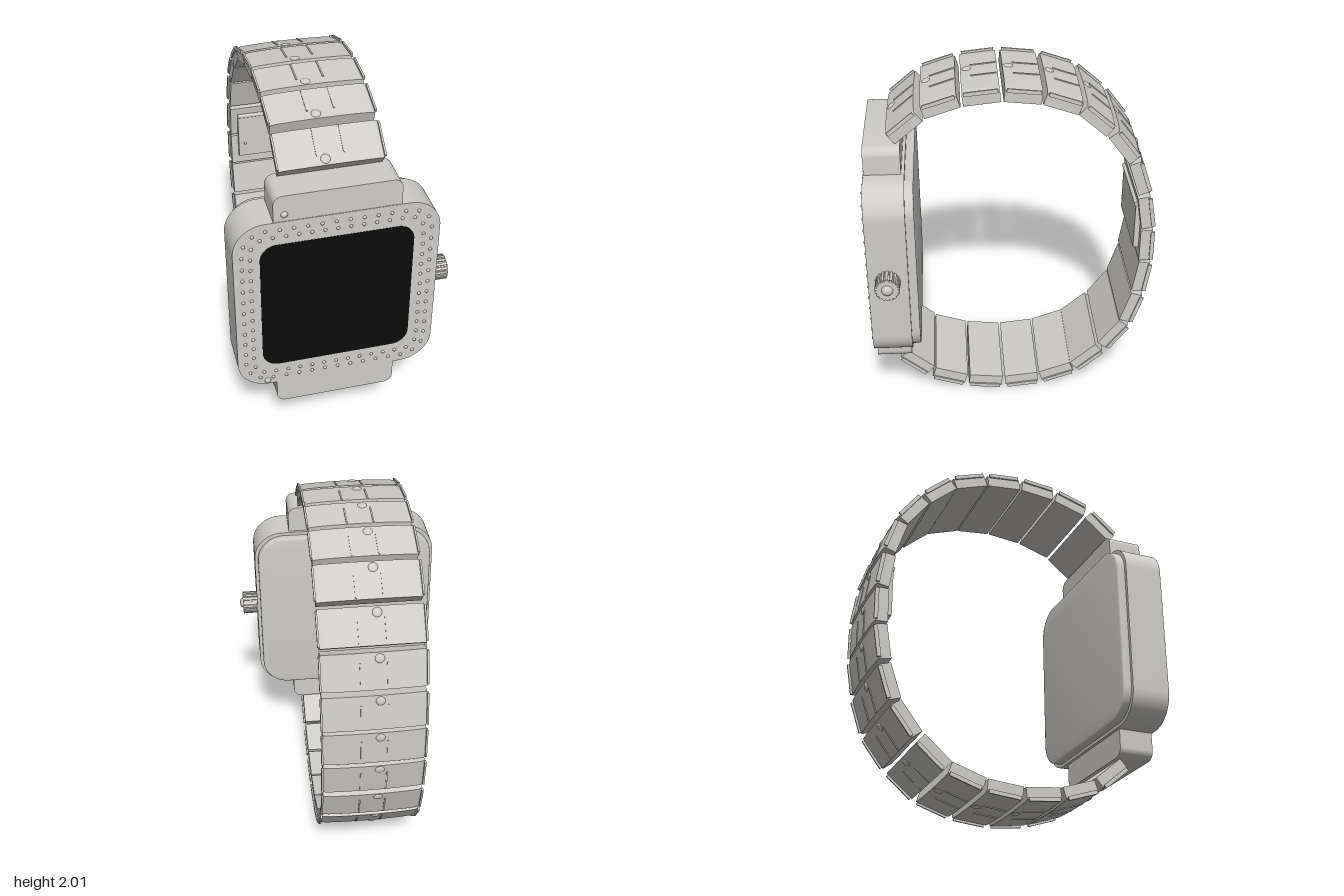
import * as THREE from 'three';
import { toCreasedNormals } from 'three/addons/utils/BufferGeometryUtils.js';

const steel = new THREE.MeshStandardMaterial({ color: 0xcfcdc9 });
steel.name = 'steel';
const glass = new THREE.MeshStandardMaterial({ color: 0x0c0c0c });
glass.name = 'black glass';

const CX = -0.055, CY = 1.005; // centre of the watch face

function add(parent, name, geometry, material, x = 0, y = 0, z = 0) {
  const mesh = new THREE.Mesh(geometry, material);
  mesh.name = name;
  mesh.position.set(x, y, z);
  parent.add(mesh);
  return mesh;
}

function roundedRect(hw, hh, r) {
  const s = new THREE.Shape();
  s.absarc(hw - r, hh - r, r, 0, Math.PI / 2);
  s.absarc(-hw + r, hh - r, r, Math.PI / 2, Math.PI);
  s.absarc(-hw + r, -hh + r, r, Math.PI, Math.PI * 1.5);
  s.absarc(hw - r, -hh + r, r, Math.PI * 1.5, Math.PI * 2);
  s.closePath();
  return s;
}

function slab(hw, hh, r, depth, bevel = 0) {
  const g = new THREE.ExtrudeGeometry(roundedRect(hw - bevel, hh - bevel, r - bevel), {
    depth: depth - 2 * bevel, curveSegments: 14,
    bevelEnabled: bevel > 0, bevelSize: bevel, bevelThickness: bevel, bevelSegments: 3,
  });
  g.translate(0, 0, bevel);
  return toCreasedNormals(g, 0.6);
}

function buildCase() {
  const g = new THREE.Group();
  g.name = 'watchCase';
  g.position.set(CX, CY, 0);
  add(g, 'caseBody', slab(0.542, 0.542, 0.17, 0.22), steel, 0, 0, 0.585);
  add(g, 'caseBack', slab(0.523, 0.523, 0.16, 0.06, 0.01), steel, 0, 0, 0.538);
  add(g, 'strapLugs', slab(0.331, 0.693, 0.05, 0.2), steel, 0, 0, 0.602);
  add(g, 'screen', slab(0.405, 0.405, 0.09, 0.006), glass, 0, 0, 0.801);

  // two staggered rows of bezel studs
  const studGeo = new THREE.SphereGeometry(0.0095, 10, 8);
  const count = 52;
  [[0.497, 0.125, 0], [0.454, 0.085, 0.5]].forEach(([half, r, shift], row) => {
    const path = roundedRect(half, half, r);
    for (let i = 0; i < count; i++) {
      const p = path.getPointAt((i + shift) / count);
      add(g, 'bezelStud' + (row + 1), studGeo, steel, p.x, p.y, 0.806);
    }
  });
  // two larger balls on the front
  const ball = new THREE.SphereGeometry(0.02, 16, 12);
  add(g, 'lugBall', ball, steel, -0.275, 0.582, 0.795);
  add(g, 'cornerBall', ball, steel, -0.382, -0.518, 0.797);
  return g;
}

function buildCrown() {
  const g = new THREE.Group();
  g.name = 'crown';
  g.position.set(0.485, CY, 0.697);
  const core = new THREE.CylinderGeometry(0.06, 0.06, 0.09, 32);
  core.rotateZ(-Math.PI / 2);
  add(g, 'crownCore', core, steel, 0.045);
  const ridge = new THREE.BoxGeometry(0.084, 0.014, 0.014);
  const n = 18;
  for (let i = 0; i < n; i++) {
    const a = (i / n) * Math.PI * 2;
    add(g, 'crownRidge', ridge, steel, 0.046, Math.cos(a) * 0.061, Math.sin(a) * 0.061).rotation.x = a;
  }
  add(g, 'crownCap', new THREE.SphereGeometry(0.032, 20, 14), steel, 0.088).scale.x = 0.65;
  return g;
}

// link cross-section: flat inside, gently crowned outside
const LW = 0.272, LL = 0.2;
const section = new THREE.Shape();
section.moveTo(-LW, -0.042);
section.lineTo(LW, -0.042);
section.lineTo(LW, 0.022);
section.quadraticCurveTo(LW, 0.03, LW * 0.7, 0.033);
section.quadraticCurveTo(0, 0.041, -LW * 0.7, 0.033);
section.quadraticCurveTo(-LW, 0.03, -LW, 0.022);
section.closePath();
const linkGeo = new THREE.ExtrudeGeometry(section, { depth: LL, bevelEnabled: false, curveSegments: 8 });
linkGeo.translate(0, 0, -LL / 2);
const bodyGeo = toCreasedNormals(linkGeo, 0.5);
const sideGeo = new THREE.BoxGeometry(0.01, 0.022, 0.182);
const barGeo = new THREE.BoxGeometry(0.008, 0.02, 0.14);
const linkStud = new THREE.SphereGeometry(0.026, 16, 12);

function buildLink(z, y, degrees) {
  const g = new THREE.Group();
  g.name = 'braceletLink';
  g.position.set(CX, y, z);
  g.rotation.x = -THREE.MathUtils.degToRad(degrees);
  add(g, 'linkBody', bodyGeo, steel);
  for (const s of [-1, 1]) {
    add(g, 'linkSideStrip', sideGeo, steel, s * (LW + 0.004), 0.026, 0);
    add(g, 'linkBar', barGeo, steel, s * 0.07, 0.031, -0.024);
  }
  add(g, 'linkStud', linkStud, steel, -0.03, 0.034, 0.067).scale.y = 0.45;
  return g;
}

function buildBracelet() {
  const g = new THREE.Group();
  g.name = 'bracelet';
  // z, y and slope of each link from the upper lug to the middle of the back
  const upper = [
    [0.579, 1.794, -40], [0.384, 1.91, -18], [0.167, 1.957, -6], [-0.053, 1.957, 6],
    [-0.265, 1.91, 19], [-0.45, 1.804, 41], [-0.606, 1.64, 53], [-0.704, 1.444, 72],
    [-0.751, 1.222, 81],
  ];
  for (const [z, y, a] of upper) {
    g.add(buildLink(z, y, a));
    g.add(buildLink(z, 2 * CY - y, 180 - a));
  }
  g.add(buildLink(-0.765, CY, 90));

  // clasp on the inside of the back
  add(g, 'claspPlate', new THREE.BoxGeometry(0.46, 0.295, 0.03), steel, CX, 1.118, -0.707);
  const rod = new THREE.CylinderGeometry(0.012, 0.012, 0.46, 14);
  rod.rotateZ(Math.PI / 2);
  add(g, 'claspRod', rod, steel, CX, 1.257, -0.695);
  add(g, 'claspPin', new THREE.SphereGeometry(0.008, 10, 8), steel, CX - 0.19, 1.06, -0.691);
  return g;
}

export function createModel() {
  const model = new THREE.Group();
  model.name = 'wristwatch';
  model.add(buildCase(), buildCrown(), buildBracelet());
  return model;
}
